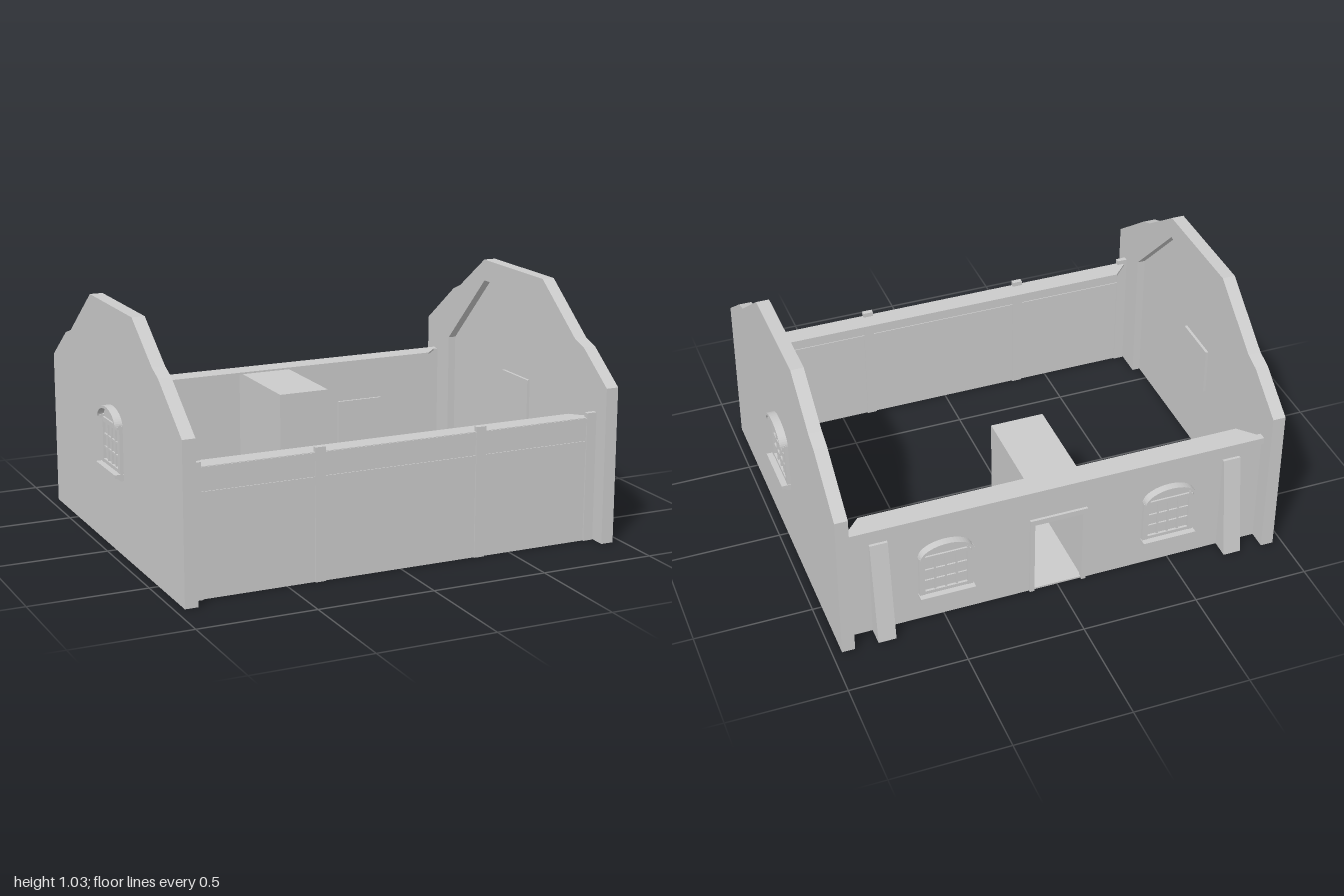
import * as THREE from 'three';

const mat = new THREE.MeshStandardMaterial({ color: 0xcccccc, flatShading: true, side: THREE.DoubleSide });

function add(parent, name, geometry) {
  const mesh = new THREE.Mesh(geometry, mat);
  mesh.name = name;
  parent.add(mesh);
  return mesh;
}

// Box given by its two opposite corners
function box(parent, name, x0, x1, y0, y1, z0, z1) {
  const g = new THREE.BoxGeometry(x1 - x0, y1 - y0, z1 - z0);
  g.translate((x0 + x1) / 2, (y0 + y1) / 2, (z0 + z1) / 2);
  return add(parent, name, g);
}

const shapeOf = (pts) => new THREE.Shape(pts.map(([x, y]) => new THREE.Vector2(x, y)));

// Prism of an outline in xy between z0 and z1
function prism(shape, z0, z1) {
  const g = new THREE.ExtrudeGeometry(shape, { depth: z1 - z0, bevelEnabled: false, curveSegments: 12 });
  return g.translate(0, 0, z0);
}

// Arched window facing +z; base at y = 0, wall face at z = 0, backing at z = -inner
function createWindow(inner) {
  const w = new THREE.Group();
  w.name = 'window';
  box(w, 'innerPanel', -0.11, 0.11, 0.015, 0.225, -inner, -inner + 0.012);
  box(w, 'glass', -0.1, 0.1, 0.03, 0.22, 0, 0.003);

  // Frame and glazing bars, four columns by three rows
  for (const s of [-1, 1]) box(w, 'frameSide', s * 0.103 - 0.012, s * 0.103 + 0.012, 0.03, 0.235, 0, 0.015);
  box(w, 'frameTop', -0.115, 0.115, 0.205, 0.225, 0, 0.014);
  box(w, 'frameBottom', -0.115, 0.115, 0.03, 0.045, 0, 0.014);
  for (const x of [-0.046, 0, 0.046]) box(w, 'uprightBar', x - 0.004, x + 0.004, 0.04, 0.21, 0, 0.01);
  for (const y of [0.095, 0.15]) box(w, 'crossBar', -0.095, 0.095, y - 0.004, y + 0.004, 0, 0.01);

  // Arched head and projecting hood
  const head = new THREE.Shape();
  head.absellipse(0, 0.225, 0.105, 0.055, 0, Math.PI, false);
  add(w, 'archPanel', prism(head, 0, 0.006));
  const hood = new THREE.Shape();
  hood.absellipse(0, 0.225, 0.115, 0.065, 0, Math.PI, false);
  hood.absellipse(0, 0.225, 0.103, 0.053, Math.PI, 0, true);
  add(w, 'hood', prism(hood, 0, 0.034));
  for (const s of [-1, 1]) box(w, 'hoodFoot', s * 0.108 - 0.009, s * 0.108 + 0.009, 0.218, 0.23, 0, 0.025);

  // Sill on two tapered brackets
  box(w, 'sill', -0.118, 0.118, 0.014, 0.03, 0, 0.04);
  for (const s of [-1, 1]) {
    const g = prism(shapeOf([[0, 0], [-0.012, 0], [-0.03, 0.014], [0, 0.014]]), -0.007, 0.007);
    g.rotateY(Math.PI / 2).translate(s * 0.107, 0, 0);
    add(w, 'sillBracket', g);
  }
  return w;
}

// Gable on the +x side, outer slab with a thicker rim on the inside
function createGable() {
  const gable = new THREE.Group();
  gable.name = 'gable';
  const roofline = [
    [-0.785, 0], [-0.785, 0.67], [-0.6, 0.805], [-0.53, 0.828], [-0.255, 1.035],
    [0.255, 1.035], [0.475, 0.88], [0.54, 0.852], [0.785, 0.67], [0.785, 0],
  ];
  const recess = [[0.58, 0], [0.58, 0.61], [0.25, 0.94], [-0.25, 0.94], [-0.58, 0.61], [-0.58, 0]];
  add(gable, 'gableWall', prism(shapeOf(roofline), 0.94, 0.96).rotateY(Math.PI / 2));
  add(gable, 'gableRim', prism(shapeOf([...roofline, ...recess]), 0.905, 0.94).rotateY(Math.PI / 2));
  const w = createWindow(0.032);
  w.rotation.y = Math.PI / 2;
  w.position.set(0.96, 0.328, 0);
  gable.add(w);
  return gable;
}

// Flat wall cap with mitred ends, narrowing towards the inside (side = +1 front, -1 back)
function createCap(parent, side) {
  const g = prism(shapeOf([[-0.905, 0.712], [0.905, 0.712], [0.823, 0.625], [-0.823, 0.625]]), -0.008, 0);
  g.rotateX(Math.PI / 2).translate(0, 0.527, 0);
  add(parent, 'wallCap', g).rotation.y = side > 0 ? 0 : Math.PI;
}

export function createModel() {
  const model = new THREE.Group();
  model.name = 'roofless house';

  // Gable ends
  for (const turn of [0, Math.PI]) {
    const gable = createGable();
    gable.rotation.y = turn;
    model.add(gable);
  }

  // Front wall with posts and rails
  const front = new THREE.Group();
  front.name = 'frontWall';
  model.add(front);
  box(front, 'wallPanel', -0.905, 0.905, 0, 0.533, 0.703, 0.711);
  for (const [y0, y1] of [[0.4, 0.435], [0.5, 0.533]]) box(front, 'rail', -0.9, 0.9, y0, y1, 0.699, 0.715);
  for (const x of [-0.88, -0.358, 0.358, 0.88]) box(front, 'post', x - 0.022, x + 0.022, 0, 0.555, 0.697, 0.718);
  createCap(front, 1);

  // Back wall with a doorway
  const back = new THREE.Group();
  back.name = 'backWall';
  model.add(back);
  const wall = shapeOf([
    [-0.905, 0], [-0.11, 0], [-0.11, 0.36], [0.11, 0.36], [0.11, 0], [0.905, 0], [0.905, 0.533], [-0.905, 0.533],
  ]);
  add(back, 'wallPanel', prism(wall, -0.705, -0.69));
  box(back, 'cornice', -0.905, 0.905, 0.505, 0.535, -0.725, -0.7);
  createCap(back, -1);

  // Door frame and threshold
  for (const s of [-1, 1]) box(back, 'doorJamb', s * 0.115 - 0.01, s * 0.115 + 0.01, 0, 0.36, -0.715, -0.69);
  box(back, 'doorLintel', -0.125, 0.125, 0.355, 0.38, -0.717, -0.69);

  // Enclosed entry behind the doorway
  const entry = new THREE.Group();
  entry.name = 'entry';
  model.add(entry);
  for (const s of [-1, 1]) box(entry, 'entrySide', s * 0.112 - 0.003, s * 0.112 + 0.003, 0, 0.52, -0.69, -0.23);
  box(entry, 'entryEnd', -0.115, 0.115, 0, 0.52, -0.236, -0.23);
  box(entry, 'entryTop', -0.115, 0.115, 0.514, 0.52, -0.69, -0.23);
  box(entry, 'entryFloor', -0.115, 0.115, 0, 0.008, -0.705, -0.23);

  // Back windows and sloped buttresses
  for (const s of [-1, 1]) {
    const w = createWindow(0.026);
    w.rotation.y = Math.PI;
    w.position.set(s * 0.49, 0.105, -0.705);
    back.add(w);
    const wedge = prism(shapeOf([[0.7, 0], [0.785, 0], [0.717, 0.455], [0.7, 0.455]]), -0.038, 0.038);
    wedge.rotateY(Math.PI / 2).translate(s * 0.768, 0, 0);
    add(back, 'buttress', wedge);
  }
  return model;
}
